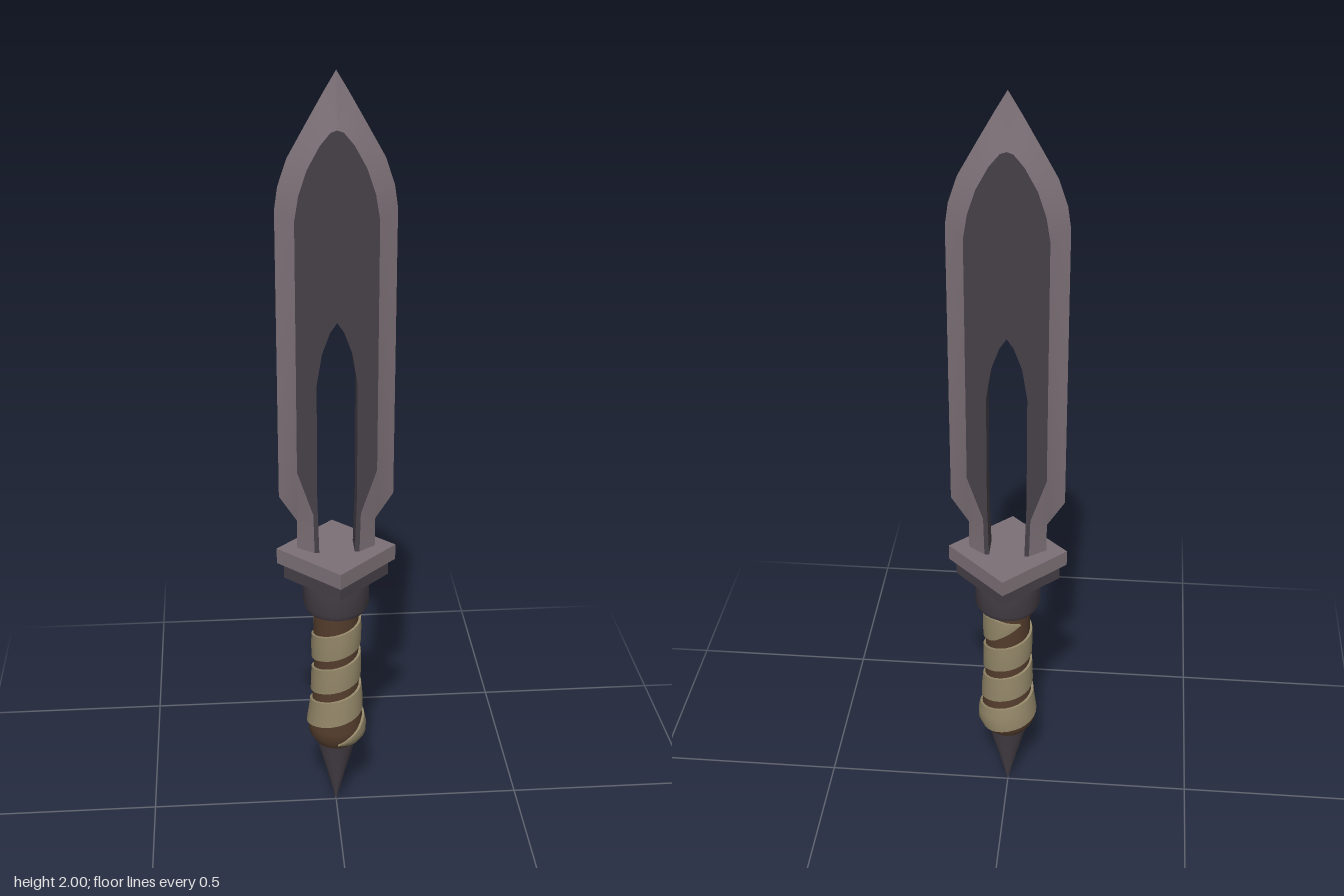
import * as THREE from 'three';
import { toCreasedNormals } from 'three/addons/utils/BufferGeometryUtils.js';

const paint = (name, color, side = THREE.FrontSide) => {
  const m = new THREE.MeshStandardMaterial({ color, side });
  m.name = name;
  return m;
};

// Surface through rows of [x, y, z] points
function grid(rows, flip = false) {
  const n = rows[0].length, index = [];
  for (let i = 0; i < rows.length - 1; i++) {
    for (let j = 0; j < n - 1; j++) {
      const a = i * n + j, b = a + n, c = b + 1, d = a + 1;
      if (flip) index.push(a, c, b, a, d, c);
      else index.push(a, b, c, a, c, d);
    }
  }
  const g = new THREE.BufferGeometry();
  g.setAttribute('position', new THREE.Float32BufferAttribute(rows.flat(2), 3));
  g.setIndex(index);
  g.computeVertexNormals();
  return g;
}

export function createModel() {
  const steel = paint('pale steel', 0x7c7076);
  const dark = paint('dark steel', 0x464047);
  const leather = paint('brown leather', 0x533c2c);
  const cloth = paint('tan cloth', 0x928668, THREE.DoubleSide);

  const model = new THREE.Group();
  model.name = 'dagger';
  const add = (name, geometry, material, y = 0) => {
    const mesh = new THREE.Mesh(geometry, material);
    mesh.name = name;
    mesh.position.y = y;
    model.add(mesh);
    return mesh;
  };

  // Blade: cutting edge, rim of the flat, and central slot (right half, bottom to top)
  const T = 0.032;
  const edge = [[0.1, 0.78], [0.1, 0.87], [0.145, 0.94], [0.145, 1.68], [0.137, 1.735],
    [0.115, 1.8], [0.07, 1.88], [0.03, 1.95], [0, 2]];
  const rim = [[0.057, 0.78], [0.06, 0.9], [0.1, 1.02], [0.1, 1.66], [0.09, 1.72],
    [0.07, 1.78], [0.04, 1.835], [0.015, 1.865], [0, 1.87]];
  const slot = [[0.045, 0.78], [0.05, 0.95], [0.05, 1.25], [0.037, 1.33], [0.017, 1.385], [0, 1.41]];
  const mirror = (pts) => pts.slice(0, -1).reverse().map(([x, y]) => [-x, y]);

  const outline = [...rim, ...mirror(rim), ...[...slot, ...mirror(slot)].reverse()];
  const flat = new THREE.ExtrudeGeometry(
    new THREE.Shape(outline.map(([x, y]) => new THREE.Vector2(x, y))),
    { depth: 2 * T, bevelEnabled: false });
  flat.translate(0, 0, -T);
  add('bladeFlat', flat, dark);

  // Four ground bevels
  for (const sx of [1, -1]) for (const sz of [1, -1]) {
    const rows = edge.map(([x, y], i) => [[sx * x, y, 0], [sx * rim[i][0], rim[i][1], sz * T]]);
    add('bladeBevel', toCreasedNormals(grid(rows, sx * sz < 0), 0.4), steel);
  }

  // Two stacked diamond guard plates
  const plate = (name, halfDiagonal, height, y, material) => {
    const side = halfDiagonal * Math.SQRT2;
    add(name, new THREE.BoxGeometry(side, height, side), material, y).rotation.y = Math.PI / 4;
  };
  plate('guardUpper', 0.153, 0.042, 0.771, steel);
  plate('guardLower', 0.135, 0.045, 0.7295, dark);

  const lathe = (pts) => toCreasedNormals(
    new THREE.LatheGeometry(pts.map(([r, y]) => new THREE.Vector2(r, y)), 24), 0.6);

  // Collar, grip and pommel spike
  add('collar', lathe([[0, 0.615], [0.077, 0.615], [0.086, 0.632], [0.086, 0.715]]), dark);
  const gripProfile = [[0.05, 0.2], [0.073, 0.235], [0.074, 0.26], [0.066, 0.31],
    [0.06, 0.4], [0.059, 0.5], [0.06, 0.63]];
  add('grip', lathe(gripProfile), leather);
  add('pommelSpike', lathe([[0, 0], [0.025, 0.1], [0.053, 0.205], [0, 0.205]]), dark);

  // Cloth strip wound up the grip
  const gripRadius = (y) => {
    let i = 1;
    while (i < gripProfile.length - 1 && gripProfile[i][1] < y) i++;
    const [r0, y0] = gripProfile[i - 1], [r1, y1] = gripProfile[i];
    return THREE.MathUtils.lerp(r0, r1, THREE.MathUtils.clamp((y - y0) / (y1 - y0), 0, 1));
  };
  const rows = [], steps = 104, start = -2, end = 1.6;
  for (let i = 0; i <= steps; i++) {
    const turn = start + (end - start) * i / steps;
    const angle = turn * 2 * Math.PI;
    const centre = 0.426 + 0.1 * turn;
    const half = 0.037 * Math.min(1, (turn - start) / 0.2 + 0.05, (end - turn) / 0.2 + 0.05);
    rows.push([[-1, -0.003], [-0.97, 0.006], [-0.3, 0.007], [0.3, 0.007], [0.97, 0.006], [1, -0.003]]
      .map(([t, lift]) => {
        const y = Math.min(centre + t * half, 0.612);
        const r = gripRadius(y) + lift;
        return [Math.sin(angle) * r, y, Math.cos(angle) * r];
      }));
  }
  add('gripWrap', toCreasedNormals(grid(rows), 0.7), cloth);

  return model;
}
